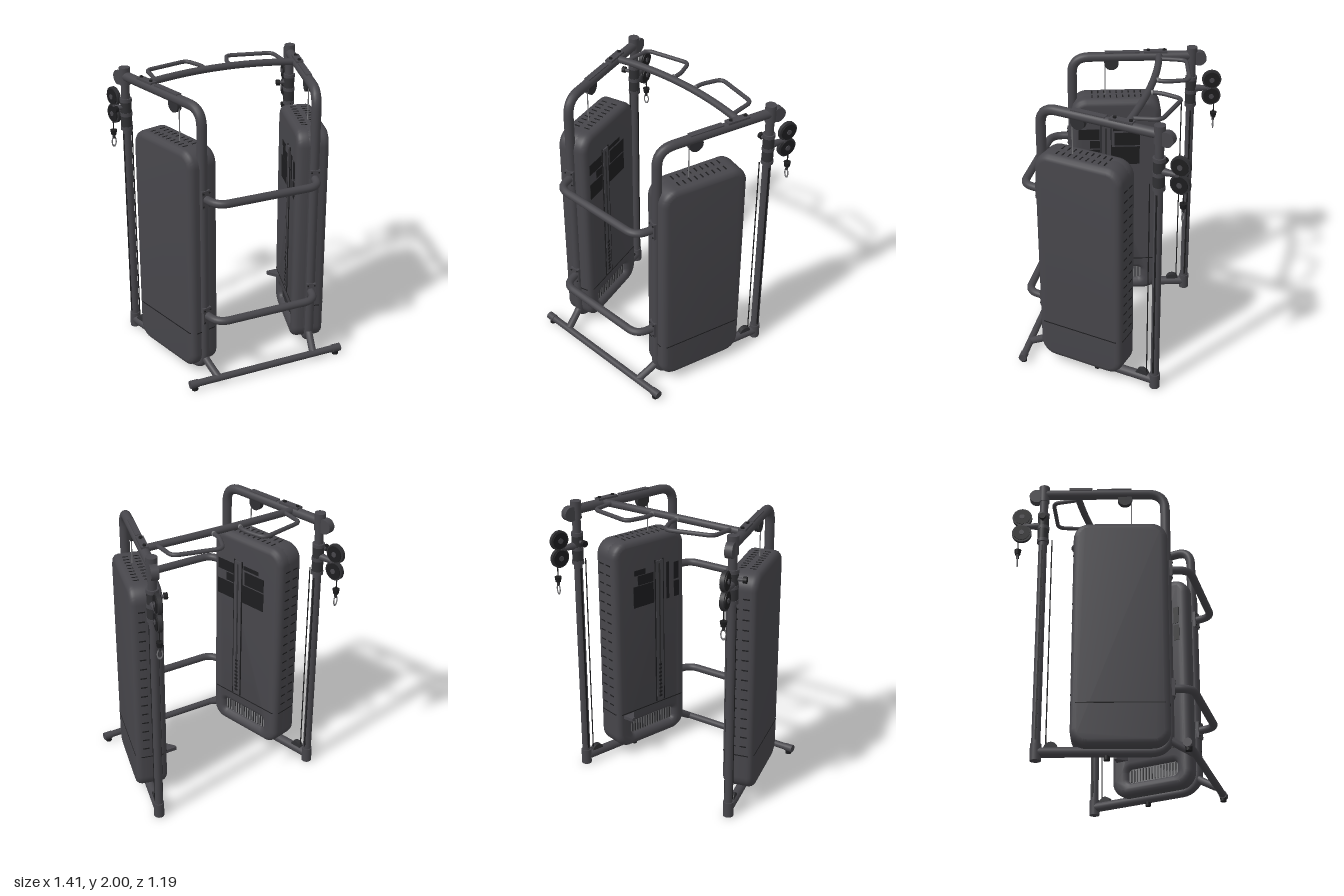
import * as THREE from 'three';
import { toCreasedNormals } from 'three/addons/utils/BufferGeometryUtils.js';

const V = (x, y, z) => new THREE.Vector3(x, y, z);
const paint = (name, color) => {
  const m = new THREE.MeshStandardMaterial({ color });
  m.name = name;
  return m;
};

function add(parent, name, geo, mat, x = 0, y = 0, z = 0, rx = 0, ry = 0, rz = 0) {
  const mesh = new THREE.Mesh(geo, mat);
  mesh.name = name;
  mesh.position.set(x, y, z);
  mesh.rotation.set(rx, ry, rz);
  parent.add(mesh);
  return mesh;
}
const box = (x, y, z) => new THREE.BoxGeometry(x, y, z);
const cyl = (r, h, n = 20, r2 = r) => new THREE.CylinderGeometry(r, r2, h, n);

// Tube through the points, with rounded corners
function bentTube(pts, corner, radius, segments) {
  const path = new THREE.CurvePath();
  let from = pts[0];
  for (let i = 1; i < pts.length - 1; i++) {
    const p = pts[i];
    const a = p.clone().add(pts[i - 1].clone().sub(p).setLength(corner));
    const b = p.clone().add(pts[i + 1].clone().sub(p).setLength(corner));
    path.add(new THREE.LineCurve3(from, a));
    path.add(new THREE.QuadraticBezierCurve3(a, p, b));
    from = b;
  }
  path.add(new THREE.LineCurve3(from, pts[pts.length - 1]));
  return new THREE.TubeGeometry(path, segments, radius, 14);
}

// Rounded rectangle from (x0, y0) to (x1, y1)
function rounded(C, x0, y0, x1, y1, r) {
  const s = new C();
  s.absarc(x1 - r, y1 - r, r, 0, Math.PI / 2);
  s.absarc(x0 + r, y1 - r, r, Math.PI / 2, Math.PI);
  s.absarc(x0 + r, y0 + r, r, Math.PI, Math.PI * 1.5);
  s.absarc(x1 - r, y0 + r, r, Math.PI * 1.5, Math.PI * 2);
  s.closePath();
  return s;
}

// Bevelled housing slab of the given width, centred on x, outline in z and y
function slab(width, hole) {
  const bevel = 0.04, depth = width - 2 * bevel;
  const s = rounded(THREE.Shape, -0.19, 0.065, 0.44, 1.66, 0.11);
  if (hole) s.holes.push(hole);
  const g = new THREE.ExtrudeGeometry(s, {
    depth, bevelSize: bevel, bevelThickness: bevel, bevelOffset: -bevel, bevelSegments: 3, curveSegments: 8,
  });
  g.translate(0, 0, -depth / 2).rotateY(-Math.PI / 2);
  return toCreasedNormals(g, 0.6);
}

// Thin band round the housing
function seamBand() {
  const x = 0.112, z = 0.317, c = 0.038;
  const pts = [[x, z - c], [x - c, z], [c - x, z], [-x, z - c], [-x, c - z], [c - x, -z], [x - c, -z], [x, c - z]];
  const s = new THREE.Shape(pts.map(p => new THREE.Vector2(...p)));
  return new THREE.ExtrudeGeometry(s, { depth: 0.007, bevelEnabled: false }).rotateX(-Math.PI / 2);
}

export function createModel() {
  const root = new THREE.Group();
  root.name = 'cableTrainer';
  const steel = paint('charcoal steel', 0x47464b);
  const shell = paint('charcoal housing', 0x47464b);
  const wheel = paint('dark plastic', 0x303033);
  const black = paint('black detail', 0x1d1d1f);
  const grey = paint('grey metal', 0x77777a);
  const H = Math.PI / 2;

  for (const s of [1, -1]) {
    // One weight tower, turned so that the front is narrower; x is outward times s
    const g = new THREE.Group();
    g.name = s > 0 ? 'leftTower' : 'rightTower';
    g.position.x = 0.515 * s;
    g.rotation.y = -s * Math.PI / 12;
    root.add(g);

    // Frame loop and post
    add(g, 'frameLoop', bentTube([V(0, 1.94, -0.4), V(0, 1.94, 0.43), V(0, 0.055, 0.43), V(0, 0.055, -0.4)], 0.12, 0.033, 140), steel);
    add(g, 'post', cyl(0.029, 1.96), steel, 0, 0.99, -0.404);
    add(g, 'postFoot', cyl(0.036, 0.11), steel, 0, 0.055, -0.404);
    add(g, 'postCap', cyl(0.037, 0.12), steel, 0, 1.94, -0.404);
    for (const x of [-0.027, 0.027]) add(g, 'postGroove', box(0.006, 1.4, 0.012), black, x, 0.83, -0.404);
    add(g, 'beamPlate', box(0.04, 0.008, 0.24), steel, 0, 1.973, 0.08);
    add(g, 'crossbarPlate', box(0.05, 0.014, 0.16), steel, 0, 1.974, -0.15);
    for (const z of [-0.1, -0.21]) add(g, 'bolt', cyl(0.012, 0.01, 10), black, 0, 1.985, z);
    add(g, 'frontLeg', bentTube([V(0, 0.15, 0.42), V(0, 0.115, 0.46), V(0, 0.045, 0.583)], 0.03, 0.026, 12), steel);
    add(g, 'middleFoot', cyl(0.02, 0.03), black, 0, 0.015, 0.04);
    for (const y of [1.34, 0.48]) {
      add(g, 'barPlate', box(0.066, 0.12, 0.02), steel, 0, y, 0.46);
      for (const x of [-0.024, 0.024]) for (const d of [-0.045, 0.045])
        add(g, 'plateBolt', cyl(0.006, 0.006, 8), black, x, y + d, 0.472, H);
    }

    // Housing with an accessory tray cut in the inner cover
    const tray = rounded(THREE.Path, -0.06, 0.155, 0.33, 0.255, 0.03);
    add(g, 'housingBody', slab(0.18), shell, 0.01 * s);
    add(g, 'housingCover', slab(0.13, tray), shell, -0.055 * s);
    add(g, 'housingSeam', seamBand(), black, -0.01 * s, 0.345, 0.125);
    add(g, 'trayFloor', box(0.006, 0.1, 0.39), grey, -0.083 * s, 0.205, 0.135);
    for (let i = 0; i < 16; i++) add(g, 'trayRib', box(0.006, 0.09, 0.008), wheel, -0.087 * s, 0.205, -0.04 + i * 0.0235);

    // Weight indicator rail on the inner face
    add(g, 'rail', box(0.008, 1.1, 0.066), shell, -0.123 * s, 0.92, 0.2);
    for (const z of [0.164, 0.236]) add(g, 'railEdge', box(0.01, 1.12, 0.008), black, -0.121 * s, 0.92, z);
    add(g, 'railSlot', box(0.004, 1.06, 0.014), wheel, -0.1265 * s, 0.92, 0.2);
    for (let i = 0; i < 9; i++) add(g, 'selectorHole', box(0.004, 0.015, 0.026), black, -0.128 * s, 0.4 + i * 0.032, 0.2);

    // Exercise chart panels: [z, width, y, height]
    const panels = s > 0
      ? [[0.06, 0.18, 1.24, 0.16], [0.08, 0.14, 1.36, 0.07], [0.03, 0.1, 1.42, 0.04], [0.28, 0.025, 1.3, 0.28], [0.36, 0.045, 1.36, 0.13], [0.36, 0.045, 1.22, 0.12]]
      : [[0.06, 0.2, 1.23, 0.14], [0.05, 0.18, 1.36, 0.1], [0.32, 0.15, 1.22, 0.12], [0.32, 0.15, 1.4, 0.08], [0.28, 0.07, 1.32, 0.06], [0.08, 0.14, 1.44, 0.03]];
    for (const [z, w, y, h] of panels) add(g, 'chartPanel', box(0.004, h, w), black, -0.121 * s, y, z);

    // Vents on the back and the top
    for (const x of [-0.045, 0.03]) {
      for (let i = 0; i < 16; i++) add(g, 'backVent', box(0.045, 0.009, 0.004), black, x * s, 0.42 + i * 0.072, -0.19);
      for (let i = 0; i < 9; i++) add(g, 'topVent', box(0.04, 0.004, 0.009), black, x * s, 1.66, -0.05 + i * 0.043);
    }

    // Cables and guide pulleys
    add(g, 'stackCable', cyl(0.004, 0.26, 8), grey, 0, 1.78, 0.2);
    add(g, 'beamPulley', cyl(0.05, 0.034, 24), wheel, 0, 1.895, 0.155, 0, 0, H);
    add(g, 'postCable', cyl(0.004, 1.48, 8), black, 0, 0.84, -0.342);
    add(g, 'lowPulley', cyl(0.045, 0.036, 24), wheel, 0, 0.075, -0.31, 0, 0, H);
    add(g, 'topPulley', cyl(0.05, 0.05, 24), steel, 0, 1.92, -0.455, 0, 0, H);

    // Sliding carriage with its lock knob and swivel arm
    add(g, 'carriage', cyl(0.038, 0.2), wheel, 0, 1.67, -0.404);
    for (const y of [1.57, 1.67, 1.77]) add(g, 'carriageRing', cyl(0.041, 0.025), steel, 0, y, -0.404);
    add(g, 'knobStem', cyl(0.012, 0.06, 12), steel, -0.045, 1.72, -0.404, 0, 0, H);
    add(g, 'knob', cyl(0.022, 0.024, 12), black, -0.082, 1.72, -0.404, 0, 0, H);
    add(g, 'swivelArm', cyl(0.014, 0.13, 14, 0.028), steel, 0, 1.69, -0.48, -H);
    add(g, 'swivelFork', box(0.036, 0.15, 0.022), steel, 0, 1.69, -0.53);
    for (const y of [1.755, 1.632]) {
      add(g, 'pulleyWheel', cyl(0.067, 0.024, 28), wheel, 0, y, -0.55, 0, 0, H);
      for (const x of [-0.017, 0.017]) {
        add(g, 'pulleyCover', cyl(0.056, 0.006, 24), black, x, y, -0.55, 0, 0, H);
        add(g, 'pulleyHub', cyl(0.018, 0.016, 14), steel, x, y, -0.55, 0, 0, H);
      }
    }

    // Cable end with clip
    add(g, 'endCable', cyl(0.004, 0.08, 8), black, 0, 1.54, -0.572);
    add(g, 'cableStop', cyl(0.024, 0.035, 16, 0.018), black, 0, 1.485, -0.572);
    add(g, 'clipNeck', cyl(0.01, 0.03, 12), wheel, 0, 1.455, -0.572);
    add(g, 'clip', new THREE.TorusGeometry(0.017, 0.004, 8, 20), grey, 0, 1.413, -0.572).scale.y = 1.9;

    // Pull-up handle in front of the crossbar
    add(root, 'pullUpHandle', bentTube([V(0.1, 1.962, -0.215), V(0.09, 1.962, -0.3), V(0.15, 1.962, -0.45), V(0.47, 1.962, -0.375), V(0.475, 1.955, -0.19)]
      .map(p => p.setX(p.x * s)), 0.045, 0.014, 60), steel);
    add(root, 'handleCollar', cyl(0.016, 0.05, 14), grey, 0.098 * s, 1.964, -0.228, H);

    // Ends of the floor bar
    add(root, 'floorBarEnd', cyl(0.028, 0.06), steel, 0.545 * s, 0.045, 0.567, 0, 0, H);
    add(root, 'floorBarFoot', cyl(0.022, 0.03), black, 0.54 * s, 0.015, 0.567);
  }

  // Bars joining the towers
  const arc = new THREE.QuadraticBezierCurve3(V(-0.56, 1.945, -0.17), V(0, 1.987, -0.27), V(0.56, 1.945, -0.17));
  add(root, 'crossbar', new THREE.TubeGeometry(arc, 32, 0.024, 14), steel);
  for (const y of [1.34, 0.48])
    add(root, 'frontBar', bentTube([V(-0.4, y, 0.42), V(-0.36, y, 0.565), V(0.36, y, 0.565), V(0.4, y, 0.42)], 0.08, 0.027, 60), steel);
  add(root, 'floorBar', cyl(0.024, 1.14), steel, 0, 0.045, 0.567, 0, 0, H);

  // Small shelf on the left tower
  const shelf = new THREE.Shape([[0.355, 0.17], [0.5, 0.17], [0.5, 0.06], [0.41, 0.08], [0.355, 0.15]].map(p => new THREE.Vector2(...p)));
  add(root, 'shelf', new THREE.ExtrudeGeometry(shelf, { depth: 0.025, bevelEnabled: false }).rotateX(-H), steel, 0, 0.315, 0);
  return root;
}
